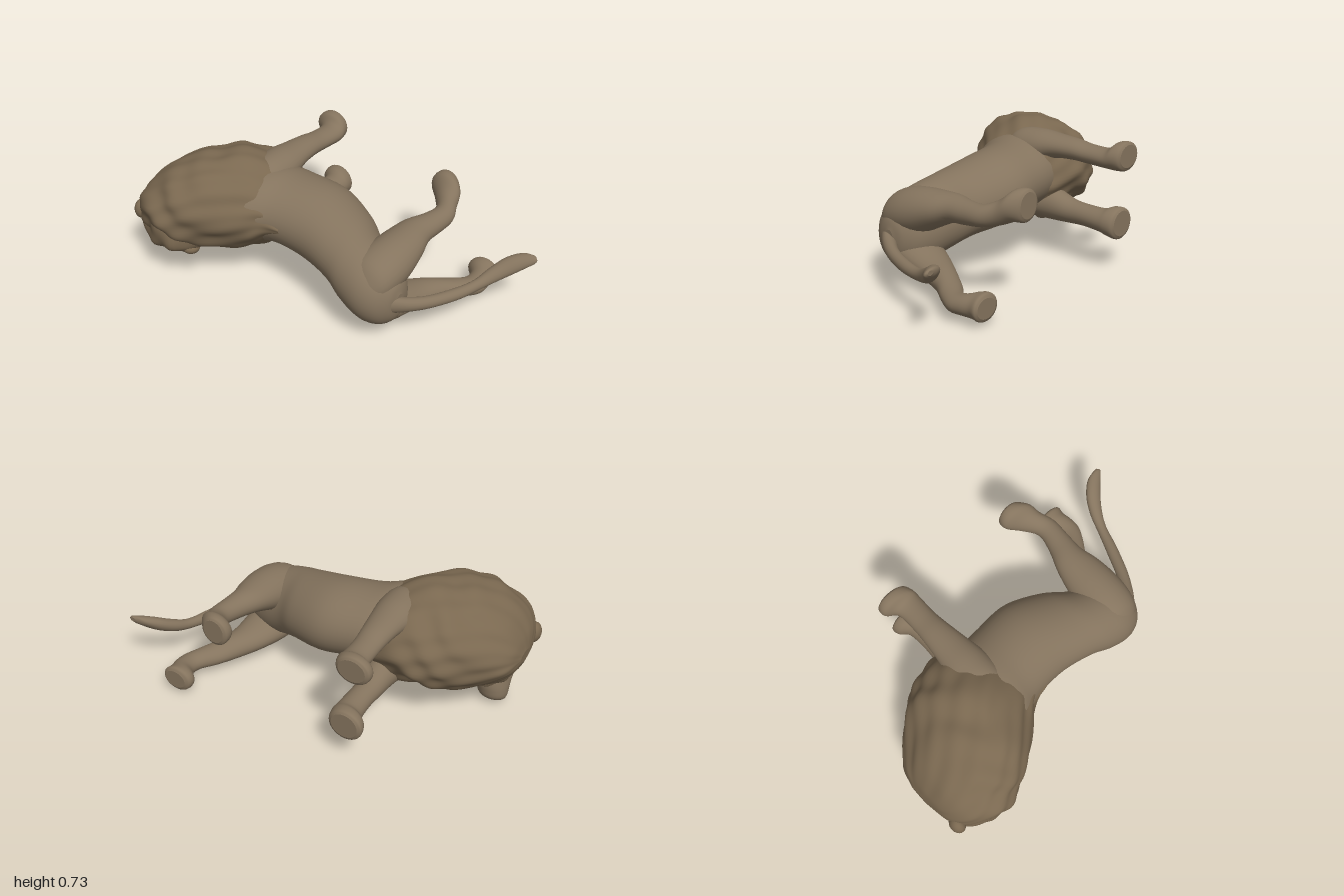
import * as THREE from 'three';

const fur = new THREE.MeshStandardMaterial({ color: 0x85745e });
const maneFur = new THREE.MeshStandardMaterial({ color: 0x7a6850 });
const dark = new THREE.MeshStandardMaterial({ color: 0x4a3e33 });

// Loft of oval sections along one axis.
// Each station: [position on axis, uMin, uMax, vMin, vMax], with u, v the next two axes in x-y-z order.
function loft(name, axis, stations, { mat = fur, rings = 44, sides = 28, relief = () => 0 } = {}) {
  const u = (axis + 1) % 3, v = (axis + 2) % 3;
  const mids = new THREE.CatmullRomCurve3(
    stations.map(s => new THREE.Vector3(s[0], (s[1] + s[2]) / 2, (s[3] + s[4]) / 2)), false, 'catmullrom', 0.5);
  const radii = new THREE.CatmullRomCurve3(
    stations.map(s => new THREE.Vector3((s[2] - s[1]) / 2, (s[4] - s[3]) / 2, 0)), false, 'catmullrom', 0.5);
  const pos = [], idx = [];
  const put = (a, b, c) => {
    const p = [];
    p[axis] = a; p[u] = b; p[v] = c;
    pos.push(...p);
  };
  const ring = t => {
    const m = mids.getPoint(t), r = radii.getPoint(t);
    for (let j = 0; j < sides; j++) {
      const th = (j / sides) * Math.PI * 2, k = 1 + relief(t, th);
      put(m.x, m.y + Math.cos(th) * r.x * k, m.z + Math.sin(th) * r.y * k);
    }
    return m;
  };
  for (let i = 0; i <= rings; i++) ring(i / rings);
  for (let i = 0; i < rings; i++) {
    for (let j = 0; j < sides; j++) {
      const a = i * sides + j, b = i * sides + (j + 1) % sides;
      idx.push(a, b, b + sides, a, b + sides, a + sides);
    }
  }
  // end caps with their own rings keep a crisp edge
  for (const t of [0, 1]) {
    const base = pos.length / 3, m = ring(t);
    put(m.x, m.y, m.z);
    for (let j = 0; j < sides; j++) {
      const a = base + j, b = base + (j + 1) % sides, c = base + sides;
      if (t) idx.push(a, b, c); else idx.push(b, a, c);
    }
  }
  const geo = new THREE.BufferGeometry();
  geo.setAttribute('position', new THREE.Float32BufferAttribute(pos, 3));
  geo.setIndex(idx);
  geo.computeVertexNormals();
  const mesh = new THREE.Mesh(geo, mat);
  mesh.name = name;
  return mesh;
}

function blob(name, center, size, mat) {
  const mesh = new THREE.Mesh(new THREE.SphereGeometry(1, 20, 14), mat);
  mesh.name = name;
  mesh.position.set(...center);
  mesh.scale.set(...size);
  return mesh;
}

export function createModel() {
  const g = new THREE.Group();
  g.name = 'lionOnItsSide';
  const X = 0, Y = 1, Z = 2;

  // torso, the back facing +z
  g.add(loft('torso', X, [
    [-0.6, 0.28, 0.62, -0.15, 0.4],
    [-0.35, 0.25, 0.65, -0.2, 0.35],
    [-0.2, 0.25, 0.635, -0.22, 0.27],
    [0, 0.22, 0.615, -0.235, 0.245],
    [0.2, 0.19, 0.56, -0.17, 0.27],
    [0.32, 0.13, 0.52, -0.1, 0.3],
    [0.44, 0.09, 0.48, -0.06, 0.31],
    [0.53, 0.1, 0.43, -0.02, 0.28],
    [0.585, 0.15, 0.37, 0.04, 0.22],
    [0.605, 0.22, 0.31, 0.1, 0.16],
  ], { sides: 40 }));

  // mane with wavy locks, tapering to a ridge along the back
  const locks = (t, a) =>
    0.022 * Math.sin(8 * a + 5 * Math.sin(7 * t)) +
    0.016 * Math.sin(5 * a - 17 * t) +
    0.014 * Math.sin(15 * a + 19 * t);
  g.add(loft('mane', X, [
    [-0.995, 0.34, 0.4, 0.18, 0.3],
    [-0.965, 0.27, 0.48, 0.08, 0.45],
    [-0.9, 0.21, 0.57, 0, 0.54],
    [-0.8, 0.175, 0.645, -0.1, 0.585],
    [-0.7, 0.17, 0.69, -0.185, 0.595],
    [-0.6, 0.17, 0.71, -0.225, 0.57],
    [-0.5, 0.18, 0.72, -0.24, 0.51],
    [-0.4, 0.185, 0.695, -0.235, 0.43],
    [-0.3, 0.23, 0.64, -0.2, 0.345],
    [-0.22, 0.3, 0.57, -0.1, 0.285],
    [-0.12, 0.38, 0.48, 0.1, 0.255],
  ], { mat: maneFur, rings: 80, sides: 96, relief: locks }));

  // ruff framing the face, which is turned to -y (stations give z then x)
  const tufts = (t, a) => 0.03 * Math.sin(7 * a + 9 * t) + 0.025 * Math.sin(11 * a - 6 * t);
  g.add(loft('ruff', Y, [
    [0.145, 0.2, 0.4, -0.89, -0.72],
    [0.165, 0.13, 0.46, -0.91, -0.63],
    [0.195, 0.09, 0.52, -0.925, -0.57],
    [0.24, 0.06, 0.57, -0.945, -0.53],
    [0.32, 0.05, 0.58, -0.965, -0.52],
    [0.42, 0.09, 0.57, -0.955, -0.56],
    [0.5, 0.15, 0.52, -0.92, -0.6],
  ], { mat: maneFur, sides: 72, relief: tufts }));

  // muzzle and forehead
  g.add(loft('muzzle', Y, [
    [0.002, 0.265, 0.3, -0.86, -0.82],
    [0.014, 0.23, 0.315, -0.895, -0.78],
    [0.05, 0.19, 0.335, -0.912, -0.75],
    [0.1, 0.178, 0.36, -0.915, -0.735],
    [0.15, 0.175, 0.415, -0.915, -0.72],
    [0.2, 0.18, 0.5, -0.92, -0.69],
    [0.3, 0.2, 0.53, -0.92, -0.68],
  ]));
  g.add(blob('nose', [-0.835, 0.022, 0.3], [0.028, 0.014, 0.016], dark));
  for (const s of [-1, 1]) {
    g.add(blob('eye', [-0.82 + s * 0.06, 0.14, 0.37], [0.013, 0.012, 0.012], dark));
  }
  g.add(blob('rightEar', [-0.945, 0.35, 0.48], [0.04, 0.06, 0.05], maneFur));
  g.add(blob('leftEar', [-0.61, 0.215, 0.44], [0.05, 0.035, 0.05], maneFur));

  // front legs, the soles at the -z end
  g.add(loft('rightFrontLeg', Z, [
    [-0.61, -0.52, -0.37, 0.56, 0.685],
    [-0.595, -0.54, -0.35, 0.54, 0.7],
    [-0.555, -0.535, -0.335, 0.54, 0.695],
    [-0.51, -0.48, -0.33, 0.55, 0.66],
    [-0.4, -0.472, -0.33, 0.555, 0.66],
    [-0.3, -0.478, -0.32, 0.56, 0.675],
    [-0.18, -0.49, -0.3, 0.55, 0.685],
    [-0.05, -0.51, -0.275, 0.5, 0.695],
    [0.08, -0.49, -0.28, 0.48, 0.68],
    [0.18, -0.43, -0.34, 0.5, 0.6],
  ]));
  g.add(loft('leftFrontLeg', Z, [
    [-0.61, -0.48, -0.33, 0.19, 0.33],
    [-0.595, -0.5, -0.31, 0.17, 0.345],
    [-0.555, -0.49, -0.3, 0.18, 0.345],
    [-0.51, -0.45, -0.3, 0.2, 0.33],
    [-0.4, -0.44, -0.305, 0.21, 0.33],
    [-0.3, -0.445, -0.305, 0.205, 0.34],
    [-0.18, -0.46, -0.29, 0.2, 0.38],
    [-0.05, -0.49, -0.27, 0.2, 0.4],
    [0.08, -0.48, -0.28, 0.21, 0.4],
    [0.18, -0.43, -0.34, 0.28, 0.38],
  ]));

  // hind legs in mid stride, the thighs blending into the rump
  g.add(loft('rightHindLeg', Z, [
    [-0.605, 0.31, 0.43, 0.47, 0.605],
    [-0.59, 0.29, 0.45, 0.45, 0.62],
    [-0.545, 0.295, 0.485, 0.45, 0.615],
    [-0.49, 0.36, 0.505, 0.43, 0.565],
    [-0.41, 0.42, 0.54, 0.415, 0.53],
    [-0.3, 0.4, 0.54, 0.4, 0.525],
    [-0.2, 0.36, 0.54, 0.385, 0.53],
    [-0.1, 0.335, 0.57, 0.34, 0.53],
    [0.02, 0.315, 0.59, 0.28, 0.525],
    [0.13, 0.3, 0.59, 0.25, 0.505],
    [0.22, 0.31, 0.565, 0.24, 0.46],
    [0.28, 0.38, 0.5, 0.26, 0.36],
  ]));
  g.add(loft('leftHindLeg', Z, [
    [-0.6, 0.6, 0.73, 0.045, 0.15],
    [-0.585, 0.575, 0.745, 0.025, 0.17],
    [-0.545, 0.575, 0.74, 0.03, 0.165],
    [-0.49, 0.625, 0.75, 0.04, 0.15],
    [-0.42, 0.62, 0.75, 0.04, 0.14],
    [-0.34, 0.55, 0.71, 0.045, 0.15],
    [-0.24, 0.48, 0.645, 0.05, 0.175],
    [-0.12, 0.4, 0.61, 0.06, 0.2],
    [0.02, 0.33, 0.6, 0.068, 0.25],
    [0.13, 0.31, 0.59, 0.08, 0.29],
    [0.22, 0.33, 0.56, 0.13, 0.32],
    [0.28, 0.39, 0.5, 0.21, 0.32],
  ]));

  // tail with a tuft at the tip
  g.add(loft('tail', Z, [
    [-0.54, 0.955, 0.99, 0.335, 0.36],
    [-0.52, 0.895, 1.0, 0.31, 0.365],
    [-0.46, 0.835, 0.945, 0.26, 0.345],
    [-0.38, 0.795, 0.88, 0.22, 0.3],
    [-0.28, 0.765, 0.825, 0.195, 0.255],
    [-0.15, 0.715, 0.785, 0.185, 0.25],
    [0, 0.65, 0.725, 0.19, 0.26],
    [0.1, 0.575, 0.67, 0.195, 0.28],
    [0.18, 0.5, 0.61, 0.2, 0.31],
    [0.25, 0.43, 0.54, 0.21, 0.32],
  ], { sides: 18 }));
  return g;
}
